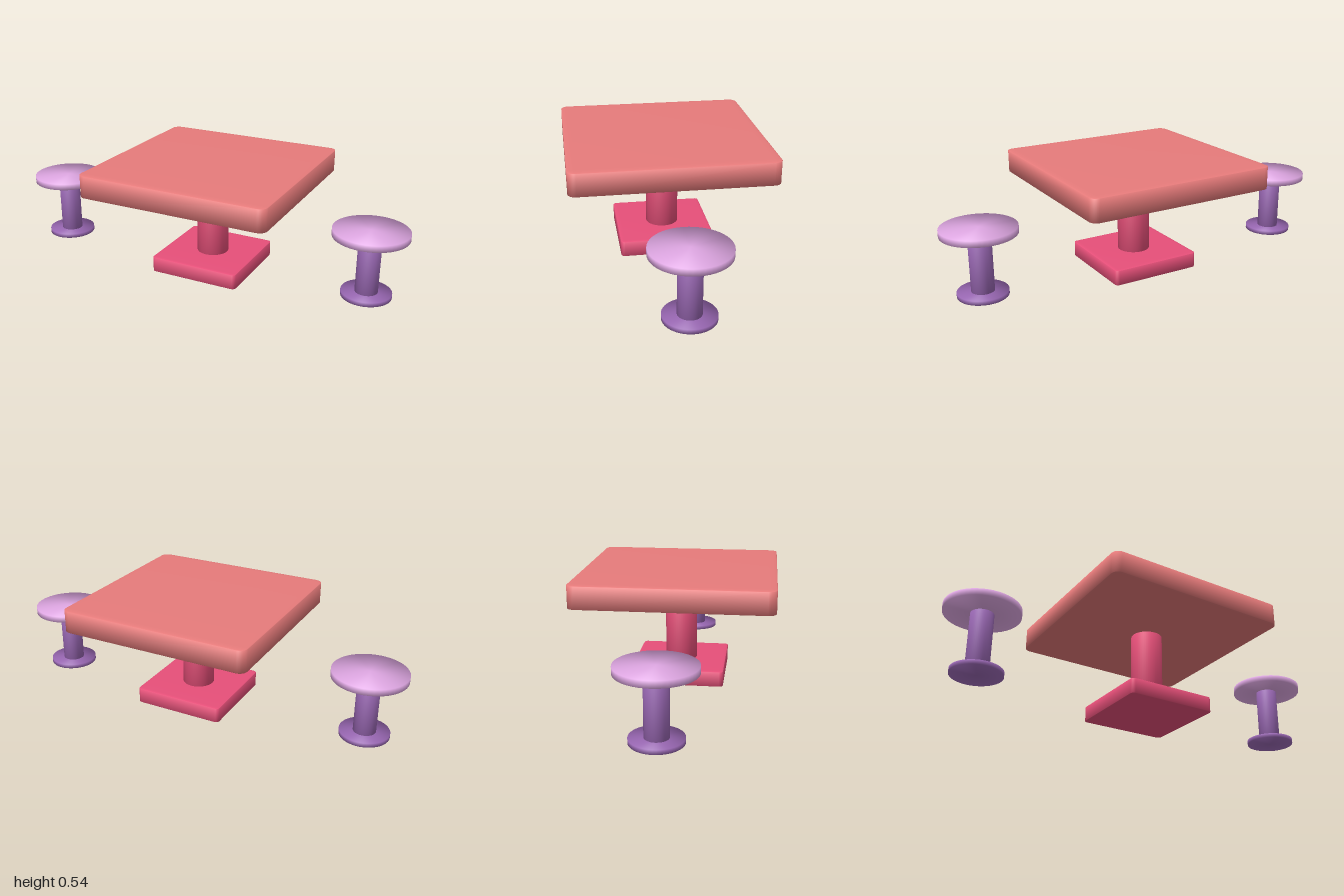
import * as THREE from 'three';
import { RoundedBoxGeometry } from 'three/addons/geometries/RoundedBoxGeometry.js';

function material(name, color) {
  const m = new THREE.MeshStandardMaterial({ color });
  m.name = name;
  return m;
}

// Bevelled slab with softly blended side normals
function slab(name, width, y0, y1, mat) {
  const geo = new RoundedBoxGeometry(2, 2, 2, 4, 0.08);
  const p = geo.attributes.position, n = geo.attributes.normal;
  for (let i = 0; i < p.count; i++) {
    n.setXYZ(i, n.getX(i) + 0.1 * p.getX(i), n.getY(i) + 0.1 * p.getY(i), n.getZ(i) + 0.1 * p.getZ(i));
  }
  geo.scale(width / 2, (y1 - y0) / 2, width / 2);
  const mesh = new THREE.Mesh(geo, mat);
  mesh.name = name;
  mesh.position.y = (y0 + y1) / 2;
  return mesh;
}

// Cylinder shaded smoothly over its rims; tilt is how far rim normals lean up or down
function disc(name, radius, y0, y1, tilt, mat) {
  const geo = new THREE.CylinderGeometry(radius, radius, y1 - y0, 48);
  const p = geo.attributes.position, n = geo.attributes.normal;
  for (let i = 0; i < p.count; i++) {
    n.setXYZ(i, p.getX(i) / radius, Math.sign(p.getY(i)) * tilt, p.getZ(i) / radius);
  }
  const mesh = new THREE.Mesh(geo, mat);
  mesh.name = name;
  mesh.position.y = (y0 + y1) / 2;
  return mesh;
}

export function createModel() {
  const coral = material('coral', 0xf08080);
  const rose = material('rose', 0xe8507a);
  const lilac = material('lilac', 0xe0a8e4);
  const purple = material('purple', 0x9a68b4);

  const model = new THREE.Group();
  model.name = 'tableWithStools';

  // Table, set slightly off centre
  const table = new THREE.Group();
  table.name = 'table';
  table.position.x = 0.04;
  table.add(
    slab('tableTop', 0.926, 0.425, 0.538, coral),
    disc('tablePedestal', 0.077, 0.06, 0.44, 0.4, rose),
    slab('tableBase', 0.444, 0, 0.077, rose),
  );
  model.add(table);

  // A round stool on each side
  for (const [side, x] of [['left', 0.825], ['right', -0.826]]) {
    const stool = new THREE.Group();
    stool.name = side + 'Stool';
    stool.position.x = x;
    stool.add(
      disc('seat', 0.174, 0.304, 0.335, 0.7, lilac),
      disc('stoolPost', 0.053, 0.025, 0.31, 0.4, purple),
      disc('stoolBase', 0.117, 0.01, 0.031, 0.7, purple),
    );
    model.add(stool);
  }
  return model;
}
